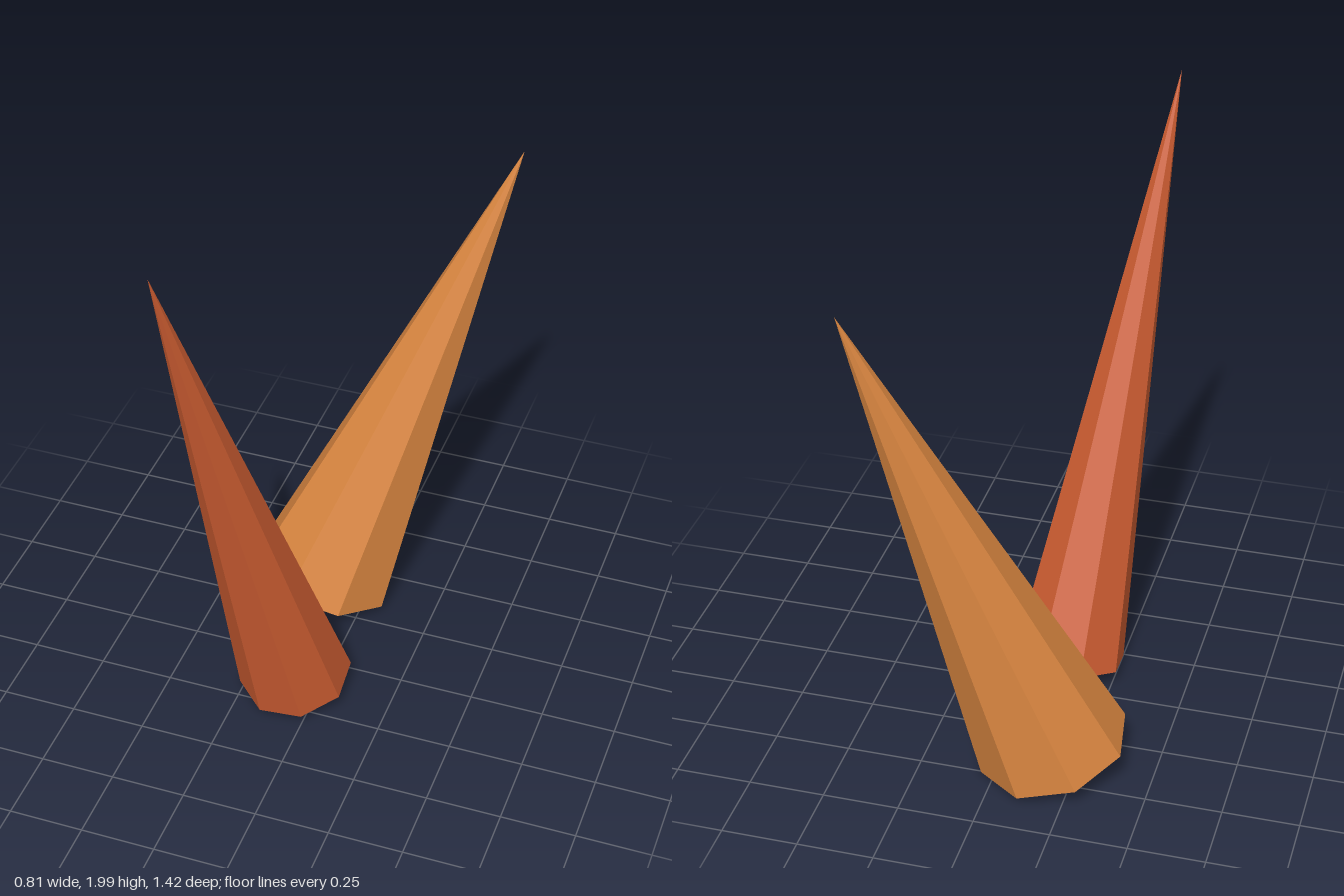
import * as THREE from 'three';

// An eight-sided cone leaning from its base centre to its tip; u and v are the base's half-axes.
function leaningCone(name, material, base, tip, u, v) {
  const centre = new THREE.Vector3(...base);
  const axis = new THREE.Vector3(...tip).sub(centre);
  const placement = new THREE.Matrix4()
    .makeBasis(new THREE.Vector3(...u), axis, new THREE.Vector3(...v))
    .setPosition(centre);
  const geometry = new THREE.ConeGeometry(1, 1, 8).translate(0, 0.5, 0).applyMatrix4(placement);
  const mesh = new THREE.Mesh(geometry, material);
  mesh.name = name;
  return mesh;
}

function flat(name, color) {
  const material = new THREE.MeshStandardMaterial({ color, flatShading: true });
  material.name = name;
  return material;
}

export function createModel() {
  const group = new THREE.Group();
  group.name = 'leaningSpikes';

  // Slim front spike, leaning forward
  group.add(leaningCone('frontSpike', flat('rust red', 0xcb5c31),
    [-0.085, 0.062, 0.135], [-0.295, 2, 0.712],
    [0.18, 0, 0.068], [-0.065, -0.041, 0.175]));

  // Broader rear spike, leaning back and to the left
  group.add(leaningCone('rearSpike', flat('warm orange', 0xdb8741),
    [-0.165, 0.077, -0.383], [0.402, 1.735, -0.712],
    [0.21, -0.07, -0.122], [0.13, 0.003, 0.223]));

  return group;
}
